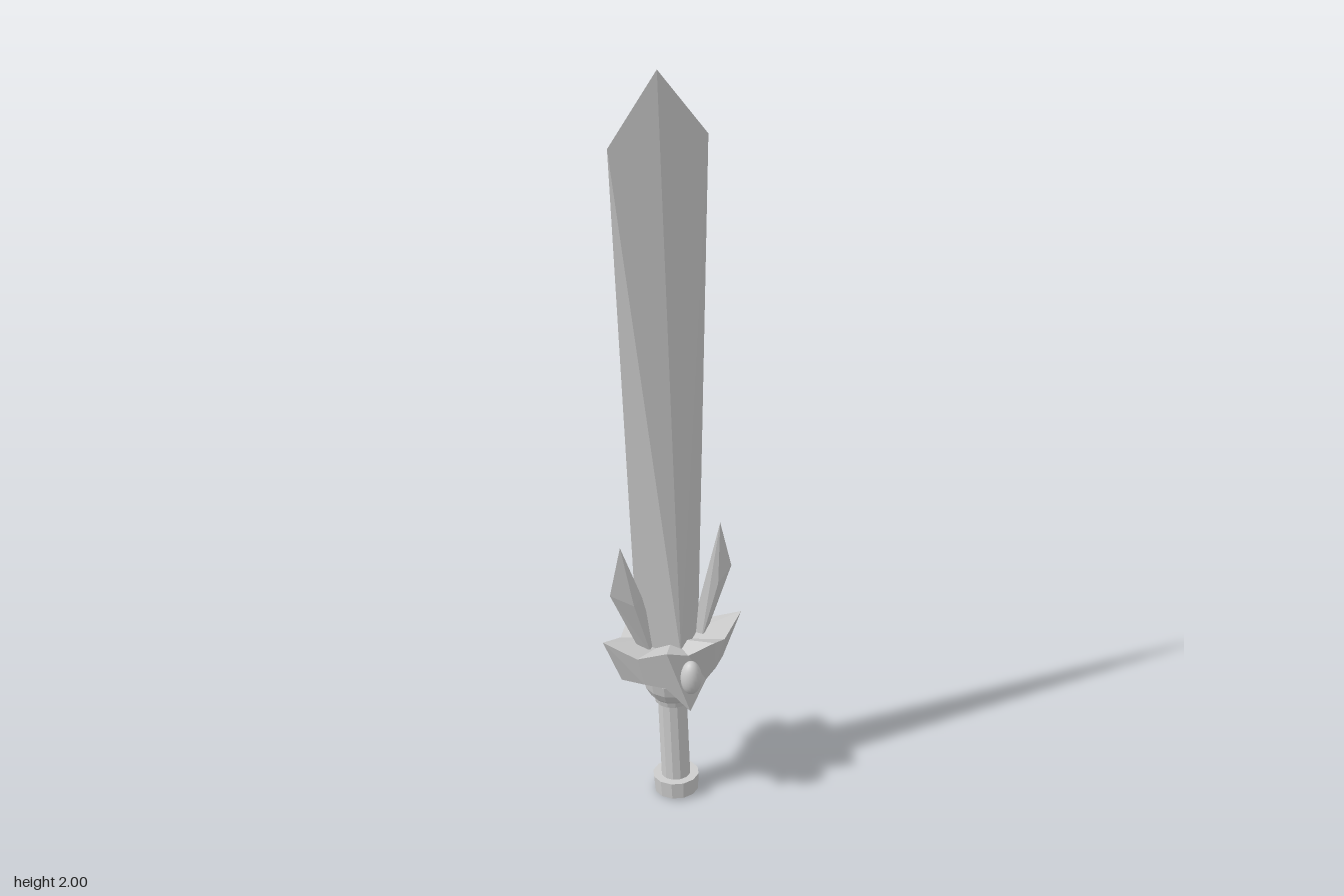
import * as THREE from 'three';
import { ConvexGeometry } from 'three/addons/geometries/ConvexGeometry.js';

const flat = new THREE.MeshStandardMaterial({ color: 0xcccccc, flatShading: true });
const smooth = new THREE.MeshStandardMaterial({ color: 0xcccccc });

function add(parent, name, geometry, material = flat, pos = [0, 0, 0]) {
  const mesh = new THREE.Mesh(geometry, material);
  mesh.name = name;
  mesh.position.set(...pos);
  parent.add(mesh);
  return mesh;
}

const hull = (points) => new ConvexGeometry(points.map((p) => new THREE.Vector3(...p)));

// Completes a ring from its quarter, listed from front (+z) to side (+x).
function ring(quarter) {
  const back = quarter.slice(0, -1).reverse().map(([x, y, z]) => [x, y, -z]);
  const half = [...quarter, ...back];
  const other = half.slice(1, -1).reverse().map(([x, y, z]) => [-x, y, z]);
  return [...half, ...other];
}

// Faceted solid between an upper and a lower rim, closed to a centre on each side.
function crownGeometry(upper, lower, topY, bottomY) {
  const top = [0, topY, 0], bottom = [0, bottomY, 0], out = [];
  upper.forEach((a, i) => {
    const j = (i + 1) % upper.length;
    const b = upper[j], c = lower[i], d = lower[j];
    out.push(top, a, b, a, c, d, a, d, b, bottom, d, c);
  });
  const g = new THREE.BufferGeometry();
  g.setAttribute('position', new THREE.Float32BufferAttribute(out.flat(), 3));
  g.computeVertexNormals();
  return g;
}

export function createModel() {
  const model = new THREE.Group();
  model.name = 'sword';

  // Blade, shards and guard share one turn about the vertical
  const head = new THREE.Group();
  head.name = 'bladeAndGuard';
  head.rotation.y = -0.455;
  model.add(head);

  // Blade: diamond base, flat shoulders, pointed tip
  add(head, 'blade', hull([
    [0.003, 2, 0.04], [-0.01, 1.82, 0.158], [-0.006, 1.82, -0.092],
    [0.063, 0.44, 0.003], [-0.063, 0.44, 0.003],
    [0, 0.44, 0.095], [0, 0.44, -0.07],
  ]));

  // Shards beside the blade edges
  for (const [name, s, x, tip, outer] of [
    ['frontShard', 1, 0.017, 0.148, 0.176], ['backShard', -1, 0, -0.129, -0.161],
  ]) {
    add(head, name, hull([
      [x, 0.768, tip], [x, 0.635, outer], [x, 0.61, s * 0.09],
      [x + 0.016, 0.6, s * 0.118], [x - 0.016, 0.6, s * 0.118],
      [x / 2 + 0.02, 0.44, s * 0.07], [x / 2 - 0.02, 0.44, s * 0.07],
      [x / 2, 0.44, s * 0.09], [x / 2, 0.44, s * 0.045],
    ]));
  }

  // Guard with a long spike front and back and a pointed plate on each side
  const upper = ring([[0, 0.49, 0.19], [0.055, 0.455, 0.12], [0.117, 0.495, 0.065], [0.103, 0.465, 0]]);
  const lower = ring([[0, 0.365, 0.14], [0.05, 0.37, 0.098], [0.088, 0.37, 0.055], [0.117, 0.305, 0]]);
  add(head, 'guard', crownGeometry(upper, lower, 0.455, 0.36));

  // Oval gems on the side plates
  for (const s of [1, -1]) {
    const gem = add(head, s > 0 ? 'leftGem' : 'rightGem',
      new THREE.SphereGeometry(0.027, 20, 14), smooth, [s * 0.12, 0.41, 0]);
    gem.scale.y = 1.75;
  }

  // Cup under the guard
  const cup = [[0, 0.27], [0.045, 0.275], [0.048, 0.29], [0.058, 0.3], [0.072, 0.325], [0.078, 0.355], [0.07, 0.38], [0, 0.38]];
  add(model, 'cup', new THREE.LatheGeometry(cup.map((p) => new THREE.Vector2(...p)), 14), flat, [0.003, 0, 0.005]);

  // Grip and pommel, leaning slightly to one side
  const hilt = new THREE.Group();
  hilt.name = 'hilt';
  hilt.position.set(0.005, 0.28, 0.007);
  hilt.rotation.z = 0.055;
  model.add(hilt);
  add(hilt, 'grip', new THREE.CylinderGeometry(0.038, 0.038, 0.26, 12), flat, [0, -0.12, 0]);
  add(hilt, 'pommel', new THREE.CylinderGeometry(0.06, 0.057, 0.046, 12), flat, [0, -0.253, 0]);

  return model;
}
